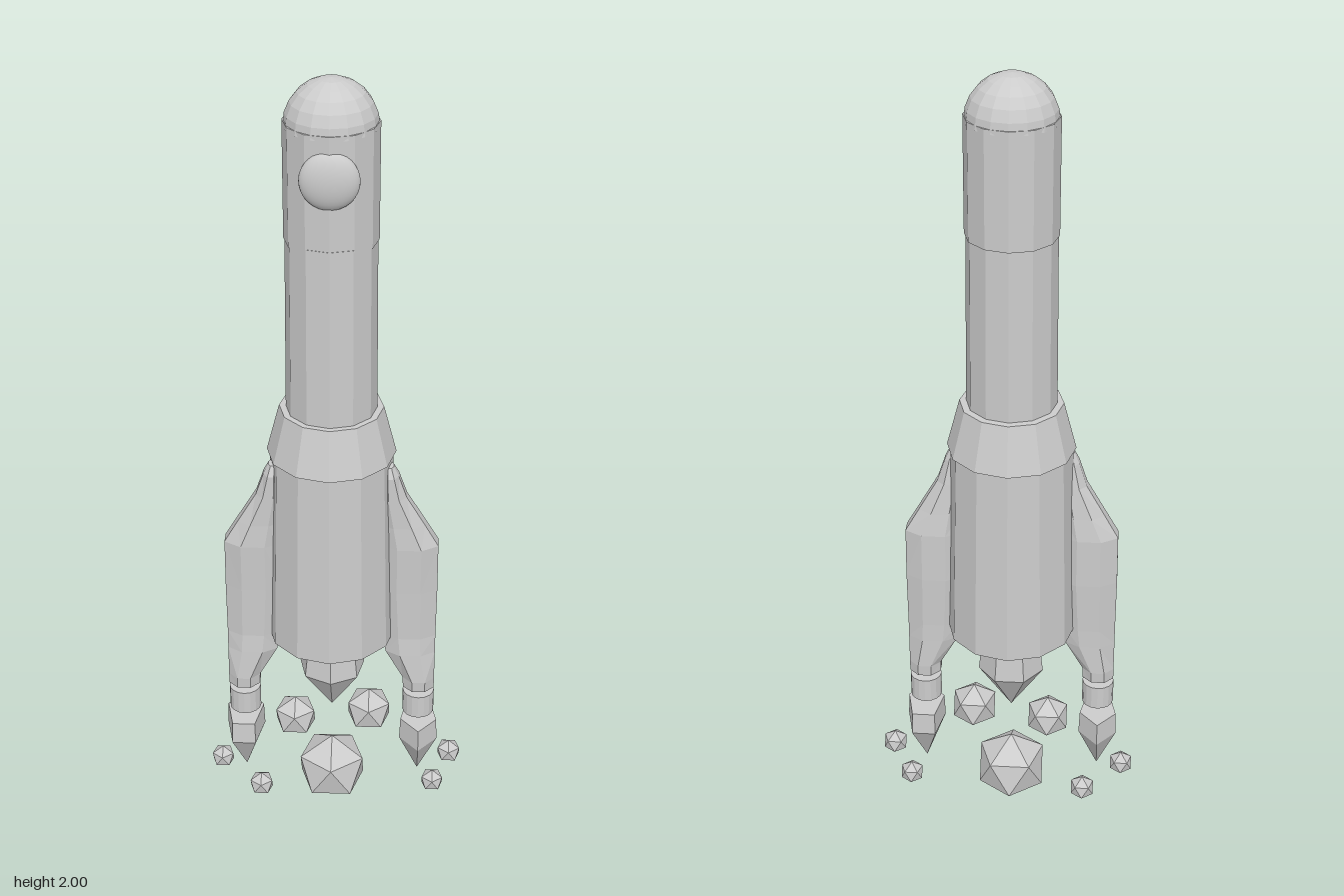
import * as THREE from 'three';

const material = new THREE.MeshStandardMaterial({ color: 0xcccccc, flatShading: true });
const smooth = new THREE.MeshStandardMaterial({ color: 0xcccccc });

function add(parent, name, geometry, x = 0, y = 0, z = 0, mat = material) {
  const mesh = new THREE.Mesh(geometry, mat);
  mesh.name = name;
  mesh.position.set(x, y, z);
  parent.add(mesh);
  return mesh;
}

// Faceted solid of revolution from [radius, y] pairs, listed bottom to top
function turned(profile, sides) {
  return new THREE.LatheGeometry(profile.map(([r, y]) => new THREE.Vector2(r, y)), sides);
}

// Closed loft through oval rings: [y, inner x, outer x, half depth, centre z]
function loft(sections, sides) {
  const positions = [], index = [];
  for (const [y, x0, x1, hz, cz] of sections) {
    for (let i = 0; i < sides; i++) {
      const a = ((i + 0.5) / sides) * Math.PI * 2;
      positions.push((x0 + x1) / 2 + ((x1 - x0) / 2) * Math.cos(a) * 1.08, y, cz + hz * Math.sin(a) * 1.08);
    }
  }
  for (let s = 0; s < sections.length - 1; s++) {
    for (let i = 0; i < sides; i++) {
      const a = s * sides + i, b = s * sides + ((i + 1) % sides);
      index.push(a, a + sides, b, b, a + sides, b + sides);
    }
  }
  const top = (sections.length - 1) * sides;
  for (let i = 1; i < sides - 1; i++) {
    index.push(0, i, i + 1, top, top + i + 1, top + i);
  }
  const g = new THREE.BufferGeometry();
  g.setAttribute('position', new THREE.Float32BufferAttribute(positions, 3));
  g.setIndex(index);
  g.computeVertexNormals();
  return g;
}

export function createModel() {
  const model = new THREE.Group();
  model.name = 'rocket';

  const rocket = new THREE.Group();
  rocket.name = 'rocketBody';
  rocket.position.x = -0.011;
  model.add(rocket);

  // Stacked hull stages
  add(rocket, 'lowerStage', turned([[0, 0.56], [0.16, 0.56], [0.147, 1.085], [0, 1.085]], 12));
  add(rocket, 'shoulder', turned([[0, 1.08], [0.155, 1.08], [0.124, 1.2], [0, 1.2]], 12));
  add(rocket, 'middleStage', turned([[0, 1.19], [0.108, 1.19], [0.105, 1.64], [0, 1.64]], 12), 0, 0, 0.002);
  add(rocket, 'upperStage', turned([[0, 1.627], [0.108, 1.627], [0.108, 1.905], [0, 1.905]], 12), 0, 0, -0.002);
  add(rocket, 'noseDome', new THREE.SphereGeometry(0.106, 16, 6, 0, Math.PI * 2, 0, Math.PI / 2), 0, 1.894, -0.002);
  const porthole = add(rocket, 'porthole', new THREE.SphereGeometry(0.067, 32, 16), 0, 1.803, 0.096, smooth);
  porthole.scale.z = 0.42;

  // Main engine and its flame
  add(rocket, 'engineRing', turned([[0, 0.522], [0.1, 0.522], [0.1, 0.54], [0.112, 0.54], [0.112, 0.565], [0, 0.565]], 16));
  add(rocket, 'mainFlame', turned([[0, 0.31], [0.084, 0.435], [0.074, 0.522], [0, 0.522]], 7), 0, 0, -0.004);

  // Side boosters, each with a fairing, nozzle and flame
  for (const side of [1, -1]) {
    const booster = new THREE.Group();
    booster.name = side > 0 ? 'leftBooster' : 'rightBooster';
    rocket.add(booster);
    const fairing = loft([
      [0.4, 0.183, 0.262, 0.039, 0.018],
      [0.43, 0.182, 0.262, 0.041, 0.018],
      [0.51, 0.137, 0.262, 0.038, 0.016],
      [0.56, 0.13, 0.262, 0.036, 0.014],
      [0.7, 0.12, 0.263, 0.04, 0.012],
      [0.83, 0.12, 0.262, 0.042, 0.014],
      [0.89, 0.12, 0.228, 0.037, 0.016],
      [0.97, 0.12, 0.182, 0.033, 0.02],
      [1.03, 0.125, 0.162, 0.029, 0.024],
      [1.055, 0.13, 0.15, 0.016, 0.026],
    ], 8);
    // Mirror by rule, reversing the winding so faces stay outward
    if (side < 0) {
      fairing.scale(-1, 1, 1);
      fairing.index.array.reverse();
      fairing.computeVertexNormals();
    }
    add(booster, 'fairing', fairing);
    add(booster, 'nozzle', new THREE.CylinderGeometry(0.04, 0.04, 0.064, 16), side * 0.223, 0.35, 0.018);
    const flame = add(booster, 'boosterFlame',
      turned([[0, 0.115], [0.08, 0.235], [0.076, 0.295], [0, 0.295]], 5), side * 0.225, 0, 0.012);
    flame.scale.x = 0.64;
    flame.rotation.y = side > 0 ? 0 : Math.PI;
  }

  // Exhaust puffs: [x, y, radius], each standing on a corner
  const puffs = [
    [-0.011, 0.108, 0.096], [-0.106, 0.272, 0.058], [0.085, 0.3, 0.062],
    [-0.3, 0.127, 0.032], [-0.2, 0.036, 0.034], [0.296, 0.165, 0.033], [0.255, 0.063, 0.032],
  ];
  for (const [x, y, r] of puffs) {
    const puff = add(model, 'exhaustPuff', new THREE.IcosahedronGeometry(r, 0), x, y, 0);
    puff.rotation.x = -Math.atan((1 + Math.sqrt(5)) / 2);
  }
  return model;
}
